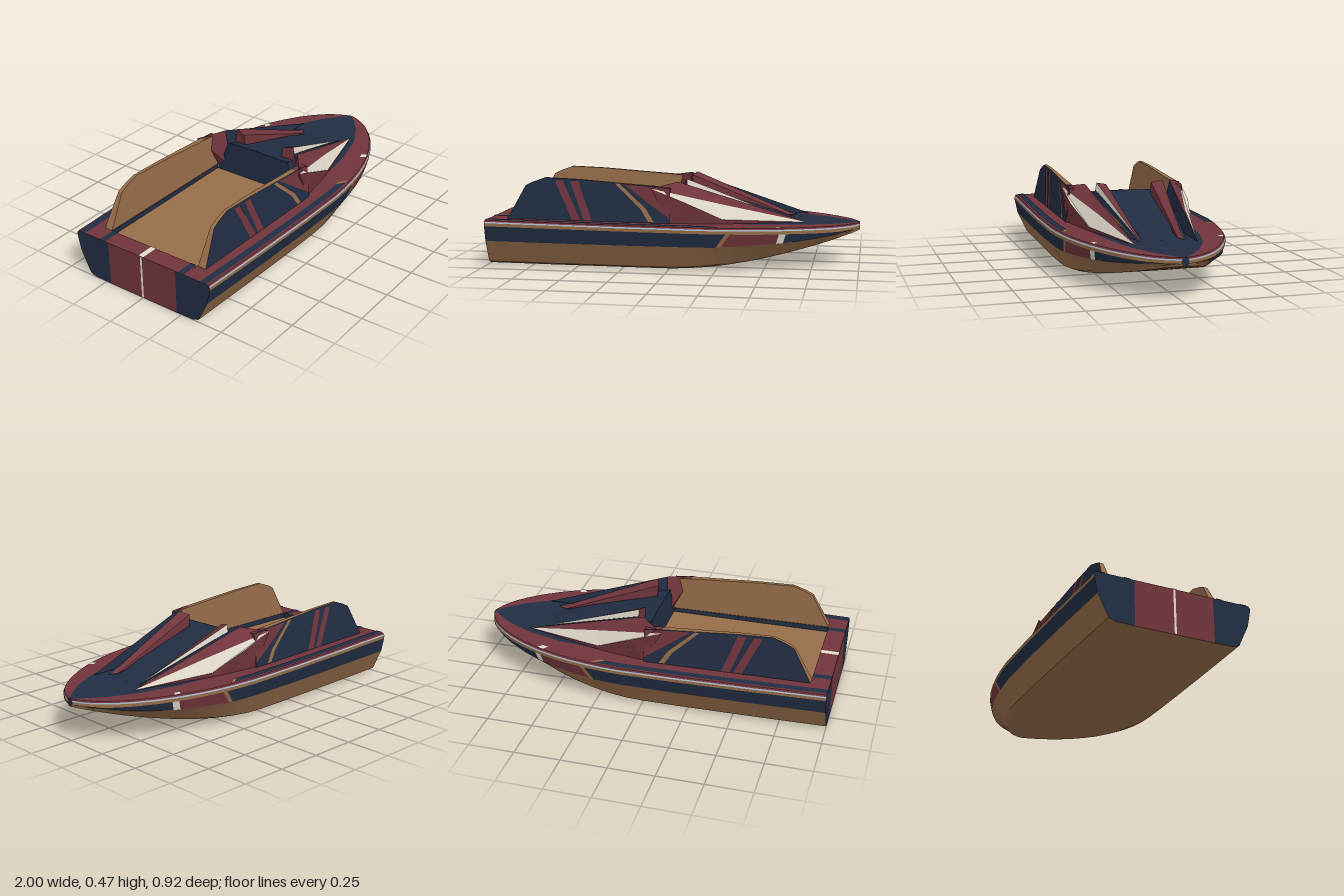
import * as THREE from 'three';

const mat = (name, color) => {
  const m = new THREE.MeshStandardMaterial({ color, side: THREE.DoubleSide });
  m.name = name;
  return m;
};

// piecewise linear lookup in a flat list of x, value pairs
const table = (...t) => (x) => {
  for (let i = 0; i < t.length - 2; i += 2)
    if (x <= t[i + 2]) return t[i + 1] + (t[i + 3] - t[i + 1]) * Math.max(0, (x - t[i]) / (t[i + 2] - t[i]));
  return t[t.length - 1];
};

const halfBeam = table(-1, .435, -.6, .45, -.2, .46, .1, .46, .2, .453, .3, .44, .4, .422, .5, .397, .6, .363, .7, .317, .8, .258, .87, .205, .93, .146, .97, .09, .99, .045, 1, .02);
const keel = table(-1, 0, 0, 0, .1, .004, .2, .012, .3, .024, .4, .04, .5, .058, .6, .08, .7, .103, .8, .128, .9, .156, 1, .185);
const paintLine = table(-1, .135, .25, .135, .6, .155, .8, .175, 1, .203);
const deckY = table(-1, .25, 0, .243, .6, .237, 1, .228);
const deckInner = table(-1, .28, .05, .28, .3, .28, .5, .255, .7, .2, .85, .125, .95, .05, 1, 0);

// half cross-section [y, z] from the keel up to the deck edge
const section = (x) => {
  const w = halfBeam(x), k = keel(x), d = deckY(x);
  const s = (w / .46) * (1 - .25 * Math.max(0, x) ** 2);
  return [
    [k, 0], [k + .002, .345 * s], [k + .015, .38 * s], [paintLine(x), .957 * w],
    [d - .032, w * .997], [d - .015, w], [d - .008, Math.max(0, w - .004)], [d, Math.max(0, w - .01)],
  ];
};

export function createModel() {
  const boat = new THREE.Group();
  boat.name = 'speedboat';
  const bronze = mat('bronze', 0x966d49), navy = mat('navy', 0x212d43), red = mat('deep red', 0x70343c);
  const cream = mat('cream', 0xe0dacb), silver = mat('silver blue', 0x9fadbc);

  const add = (name, geo, m) => {
    geo.computeVertexNormals();
    const mesh = new THREE.Mesh(geo, m);
    mesh.name = name;
    boat.add(mesh);
  };

  // surface between two lines running lengthwise; each line gives [y, z] at x.
  // slant0 and slant1 move the ends of the second line along x
  const strip = (name, m, x0, x1, a, b, slant0 = 0, slant1 = 0) => {
    const n = Math.max(1, Math.ceil((x1 - x0) * 40));
    for (const s of [1, -1]) {
      const p = [], idx = [];
      for (let i = 0; i <= n; i++) {
        const t = i / n, x = x0 + (x1 - x0) * t, xb = x + slant0 + (slant1 - slant0) * t;
        const [ya, za] = a(x), [yb, zb] = b(xb);
        p.push(x, ya, za * s, xb, yb, zb * s);
        const k = 2 * i;
        if (i < n) idx.push(...(s > 0 ? [k, k + 2, k + 1, k + 1, k + 2, k + 3] : [k, k + 1, k + 2, k + 1, k + 3, k + 2]));
      }
      const g = new THREE.BufferGeometry();
      g.setAttribute('position', new THREE.Float32BufferAttribute(p, 3));
      g.setIndex(idx);
      add(name, g, m);
    }
  };

  // flat convex face as a fan, on both sides of the boat
  const face = (name, m, ...pts) => {
    for (const s of [1, -1]) {
      const p = [];
      for (let i = 1; i < pts.length - 1; i++) {
        const tri = s > 0 ? [pts[0], pts[i], pts[i + 1]] : [pts[0], pts[i + 1], pts[i]];
        for (const [x, y, z] of tri) p.push(x, y, z * s);
      }
      const g = new THREE.BufferGeometry();
      g.setAttribute('position', new THREE.Float32BufferAttribute(p, 3));
      add(name, g, m);
    }
  };

  // hull sides and bottom
  const line = (j) => (x) => section(x)[j];
  const band = (name, m, j, x0 = -1, x1 = 1, s0 = 0, s1 = 0) => strip(name, m, x0, x1, line(j), line(j + 1), s0, s1);
  band('hullBottom', bronze, 0);
  band('chine', bronze, 1);
  band('lowerSide', bronze, 2);
  [[navy, -1, .26, 0, .05], [bronze, .26, .285, .05, .05], [red, .285, .57, .05, .015], [cream, .57, .605, .015, .015],
    [navy, .605, .95, .015, 0], [bronze, .95, .985, 0, 0], [navy, .985, 1, 0, 0]]
    .forEach(([m, ...ends]) => band('upperSide', m, 3, ...ends));
  band('rubRail', bronze, 4);
  band('railTrim', silver, 5);
  band('gunwale', red, 6);

  // stern and bow ends
  const st = section(-1).map(([y, z]) => [-1, y, z]);
  face('transomSide', navy, [-1, .25, .22], [-1, 0, .22], ...st.slice(1));
  face('transomCentre', red, [-1, 0, 0], [-1, 0, .22], [-1, .25, .22], [-1, .25, 0]);
  face('transomStripe', cream, [-1.002, .004, 0], [-1.002, .004, .006], [-1.002, .25, .006], [-1.002, .25, 0]);
  face('bowCap', navy, ...section(1).map(([y, z]) => [1, y, z]), [1, deckY(1), 0]);

  // deck with its coloured lanes
  const lane = (off, lift = 0) => (x) => [deckY(x) + lift, Math.max(halfBeam(x) - off, deckInner(x), 0)];
  const inner = (x) => [deckY(x), Math.min(deckInner(x), Math.max(0, halfBeam(x) - .01))];
  strip('sideDeck', red, -1, 1, lane(.01), inner);
  const stripe = (m, x0, x1, slant0, slant1, near, far) =>
    strip('deckStripe', m, x0, x1, lane(near, .003), lane(far, .003), slant0, slant1);
  stripe(navy, -1, .2, 0, .05, .058, .02);
  stripe(bronze, .2, .225, .05, .05, .058, .02);
  stripe(cream, .55, .585, .02, .02, .045, .011);
  strip('foredeck', navy, 0, 1, inner, (x) => [deckY(x), 0]);
  const cross = (name, m, z0, z1, y) => strip(name, m, -1, -.9, () => [y, z1], () => [y, z0]);
  cross('sternDeck', red, 0, .28, .25);
  cross('sternDeckStripe', navy, .24, .275, .253);
  cross('sternCentreStripe', cream, 0, .015, .253);

  // cockpit well
  const floorY = .22;
  strip('cockpitFloor', bronze, -.9, 0, () => [floorY, .28], () => [floorY, 0]);
  strip('cockpitWall', navy, -.9, 0, () => [floorY, .28], (x) => [deckY(x), .28]);
  face('cockpitRearWall', navy, [-.9, floorY, 0], [-.9, floorY, .28], [-.9, .25, .28], [-.9, .25, 0]);
  face('cockpitFrontWall', navy, [0, floorY, 0], [0, .41, 0], [0, .405, .2], [0, .243, .27], [0, floorY, .28]);

  // raised hood
  const hoodTop = table(0, .41, .64, .24), shoulder = table(0, .2, .64, .07), foot = table(0, .27, .64, .09);
  strip('hoodTop', navy, 0, .64, (x) => [hoodTop(x) - .004, shoulder(x)], (x) => [hoodTop(x), 0]);
  strip('hoodSide', navy, 0, .64, (x) => [deckY(x), foot(x)], (x) => [hoodTop(x) - .004, shoulder(x)]);

  // side screens: leaning outer skin, nearly upright inner skin and edge
  const outerZ = (x, y) => .346 + .015 * x - (y - .25) * .12;
  const innerZ = (x, y) => .284 + (y - .25) * .03;
  const outline = [[-.9, .247], [-.8, .43], [-.76, .45], [-.69, .475], [-.5, .468], [-.25, .45], [-.1, .44], [0, .43], [0, .243]];
  const skin = (name, m, pts, zAt) => {
    for (const s of [1, -1]) {
      const g = new THREE.ShapeGeometry(new THREE.Shape(pts.map(([x, y]) => new THREE.Vector2(x, y))));
      const p = g.attributes.position;
      for (let i = 0; i < p.count; i++) p.setZ(i, s * zAt(p.getX(i), p.getY(i)));
      add(name, g, m);
    }
  };
  skin('screenOuter', navy, outline, outerZ);
  skin('screenInner', bronze, outline, innerZ);
  for (let i = 0; i < outline.length - 1; i++) {
    const [[xa, ya], [xb, yb]] = [outline[i], outline[i + 1]];
    face('screenEdge', i < 6 ? bronze : red, [xa, ya, innerZ(xa, ya)], [xa, ya, outerZ(xa, ya)], [xb, yb, outerZ(xb, yb)], [xb, yb, innerZ(xb, yb)]);
  }
  const paint = (name, m, ...pts) => skin(name, m, pts, (x, y) => outerZ(x, y) + .004);
  paint('screenStripe', red, [-.635, .46], [-.59, .46], [-.49, .25], [-.535, .25]);
  paint('screenStripe', red, [-.55, .46], [-.505, .46], [-.425, .25], [-.47, .25]);
  paint('screenSlash', bronze, [-.3, .45], [-.275, .45], [-.13, .32], [-.085, .25], [-.115, .25], [-.155, .315]);
  paint('screenFront', red, [-.25, .447], [0, .428], [0, .27], [-.13, .36]);

  // outer wing pods
  const A = [-.1, .43, .347], P = [.03, .458, .245], T = [.72, .243, .165];
  const U = [.3, .334, .244], M = [.08, .358, .338], L = [.28, .264, .288];
  const F = [0, .243, .335], G = [.25, .24, .292], B = [.02, .243, .2];
  face('wingBlade', cream, A, M, L, U);
  face('wingBladeTip', cream, U, L, T);
  face('wingTop', red, A, U, P);
  face('wingTopTip', red, P, U, T);
  face('wingSide', red, A, F, M);
  face('wingSideLower', red, M, F, G, L);
  face('wingUnder', red, L, G, T);
  face('wingInner', navy, P, T, B);
  face('wingBack', red, A, P, B, F);

  // inner wing blades
  const R1 = [.07, .468, .19], R2 = [.05, .455, .13], S1 = [.64, .243, .115], S2 = [.6, .243, .1], S3 = [.65, .243, .13];
  const C = [.07, .43, .197], D = [.07, .395, .207], E = [.07, .365, .208], H = [.06, .33, .118];
  face('bladeTop', red, R1, S1, S2, R2);
  face('bladeTrim', cream, R1, C, S1);
  face('bladeOuter', navy, C, D, S3, S1);
  face('bladeLowerTrim', bronze, D, E, S3);
  face('bladeInner', red, R2, S2, H);
  face('bladeBack', red, R1, R2, H, E);

  return boat;
}
